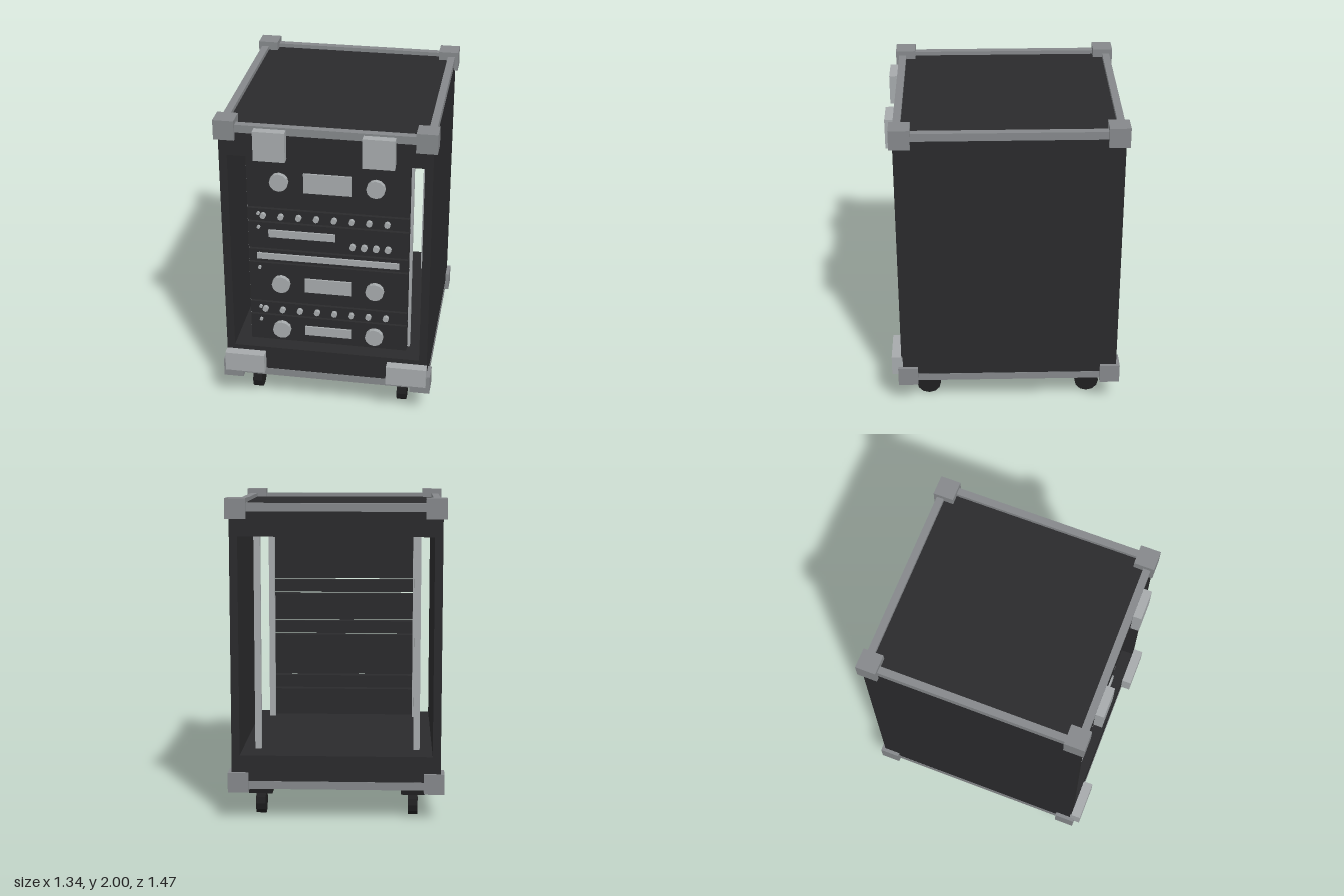
import * as THREE from 'three';

const mat = (color) => new THREE.MeshStandardMaterial({ color, flatShading: true });
const CZ = -0.02; // case centre in z

export function createModel() {
  const root = new THREE.Group();
  root.name = 'rollingEquipmentRack';
  const shell = mat(0x2a2a2c), rubber = mat(0x1f1f20), trim = mat(0x85888b), metal = mat(0xa6aaac);

  const add = (parent, name, geo, material, x, y, z) => {
    const m = new THREE.Mesh(geo, material);
    m.name = name;
    m.position.set(x, y, z);
    parent.add(m);
    return m;
  };
  const box = (parent, name, material, w, h, d, x, y, z) =>
    add(parent, name, new THREE.BoxGeometry(w, h, d), material, x, y, z);
  const group = (name) => {
    const g = new THREE.Group();
    g.name = name;
    root.add(g);
    return g;
  };
  const rect = (target, x, y0, y1) => {
    target.moveTo(-x, y0);
    target.lineTo(x, y0);
    target.lineTo(x, y1);
    target.lineTo(-x, y1);
    target.closePath();
    return target;
  };

  // Case: rectangular tube, open at front and back
  const outline = rect(new THREE.Shape(), 0.648, 0.225, 1.945);
  outline.holes.push(rect(new THREE.Path(), 0.598, 0.412, 1.768));
  add(root, 'caseShell', new THREE.ExtrudeGeometry(outline, { depth: 1.386, bevelEnabled: false }),
    shell, 0, 0, CZ - 0.693);

  // Metal edge strips and corner blocks
  const edges = group('edgeTrim');
  for (const y of [0.225, 1.945]) {
    for (const s of [-1, 1]) {
      box(edges, 'sideEdge', trim, 0.046, 0.05, 1.34, s * 0.627, y, CZ);
      box(edges, 'crossEdge', trim, 1.2, 0.05, 0.046, 0, y, CZ + s * 0.672);
      for (const t of [-1, 1]) {
        box(edges, 'cornerBlock', trim, 0.127, 0.125, 0.127,
          s * 0.608, y > 1 ? 1.9375 : 0.2425, CZ + t * 0.6515);
      }
    }
  }

  for (const s of [-1, 1]) {
    // Latches on the front
    box(root, 'upperLatch', metal, 0.193, 0.19, 0.06, s * 0.33, 1.862, 0.697);
    box(root, 'lowerLatch', metal, 0.255, 0.13, 0.07, s * 0.522, 0.316, 0.7);
    for (const t of [-1, 1]) {
      // Upright mounting posts
      box(root, 'rackPost', metal, 0.04, 1.356, 0.04, s * 0.5, 1.09, t * 0.5);
      // Casters
      const caster = group('caster');
      caster.position.set(s * 0.479, 0, -0.016 + t * 0.521);
      box(caster, 'casterPlate', rubber, 0.148, 0.085, 0.148, 0, 0.187, 0);
      const wheel = add(caster, 'wheel', new THREE.CylinderGeometry(0.078, 0.078, 0.06, 12),
        rubber, 0, 0.078, 0);
      wheel.rotation.z = Math.PI / 2;
    }
  }

  // Rack units, stacked from the bottom in multiples of one unit height
  const U = 0.0964, FRONT = 0.585;
  const knob = (unit, name, r, depth, x, y) => {
    const k = add(unit, name, new THREE.CylinderGeometry(r, r, depth, r > 0.03 ? 12 : 8),
      metal, x, y, FRONT + depth / 2);
    k.rotation.x = Math.PI / 2;
  };
  const panel = (unit, name, w, h, x, y) =>
    box(unit, name, metal, w, h, 0.012, x, y, FRONT + 0.006);
  const faces = {
    amplifier(unit, h) {
      panel(unit, 'display', 0.3, h * 0.35, 0, 0);
      for (const s of [-1, 1]) knob(unit, 'largeKnob', 0.058, 0.03, s * 0.3, 0);
    },
    mixer(unit) {
      for (let i = 0; i < 8; i++) knob(unit, 'smallKnob', 0.019, 0.025, -0.405 + i * 0.111, 0);
    },
    player(unit) {
      panel(unit, 'discSlot', 0.42, 0.05, -0.164, 0.02);
      for (let i = 0; i < 4; i++) knob(unit, 'smallKnob', 0.021, 0.025, 0.157 + i * 0.074, -0.03);
    },
    strip(unit) {
      panel(unit, 'longDisplay', 0.9, 0.04, 0, 0);
    },
  };
  let y = 0.415;
  for (const [type, size] of [['amplifier', 2], ['mixer', 1], ['amplifier', 3], ['strip', 1],
    ['player', 2], ['mixer', 1], ['amplifier', 4]]) {
    const h = size * U - 0.012;
    const unit = group(type + 'Unit');
    unit.position.y = y + size * U / 2;
    box(unit, 'facePlate', shell, 1.008, h, 0.065, 0, 0, FRONT - 0.0325);
    faces[type](unit, h);
    knob(unit, 'indicatorLight', 0.011, 0.015, -0.436, h / 2 - 0.03);
    y += size * U;
  }
  return root;
}
